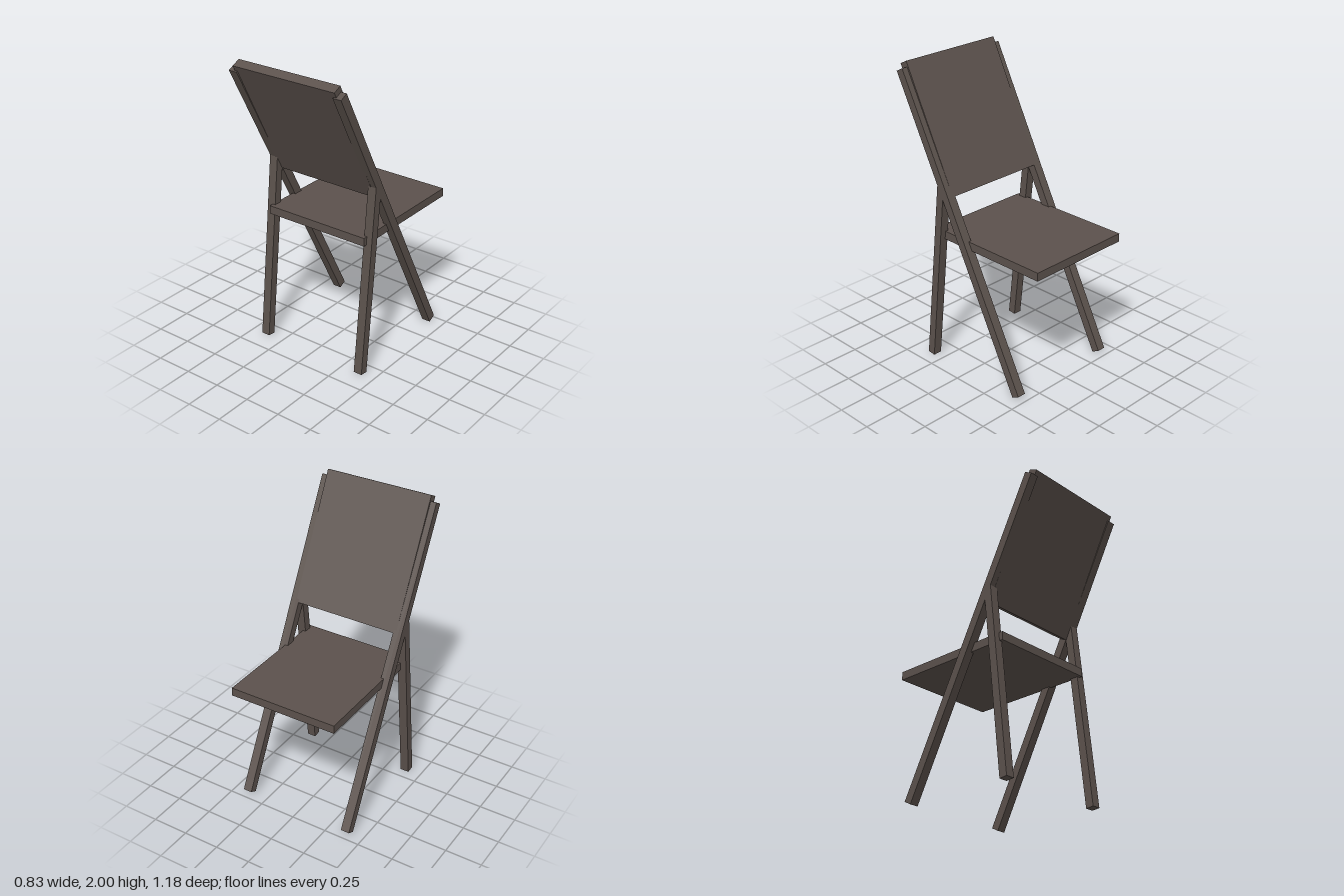
import * as THREE from 'three';

export function createModel() {
  const group = new THREE.Group();
  group.name = 'foldingChair';
  const wood = new THREE.MeshStandardMaterial({ color: 0x5b514c });
  wood.name = 'darkWood';

  // Box running from one (z, y) point to another in the side plane
  function slat(name, x, width, thickness, [z0, y0], [z1, y1]) {
    const dz = z1 - z0, dy = y1 - y0;
    const mesh = new THREE.Mesh(new THREE.BoxGeometry(width, Math.hypot(dz, dy), thickness), wood);
    mesh.name = name;
    mesh.position.set(x, (y0 + y1) / 2, (z0 + z1) / 2);
    mesh.rotation.x = Math.atan2(dz, dy);
    group.add(mesh);
  }

  // Crossed legs; the long pair carries on upward as the back posts
  for (const [side, s] of [['left', 1], ['right', -1]]) {
    slat(side + 'LongLeg', s * 0.385, 0.06, 0.058, [-0.447, 0.021], [0.555, 1.948]);
    slat(side + 'ShortLeg', s * 0.385, 0.06, 0.055, [0.345, 0.003], [0.208, 1.268]);
  }

  // Backrest panel between the posts
  slat('backrest', 0, 0.75, 0.061, [0.165, 1.194], [0.562, 1.986]);

  // Flat seat
  slat('seat', 0, 0.75, 0.056, [-0.59, 0.918], [0.3, 0.918]);

  return group;
}
